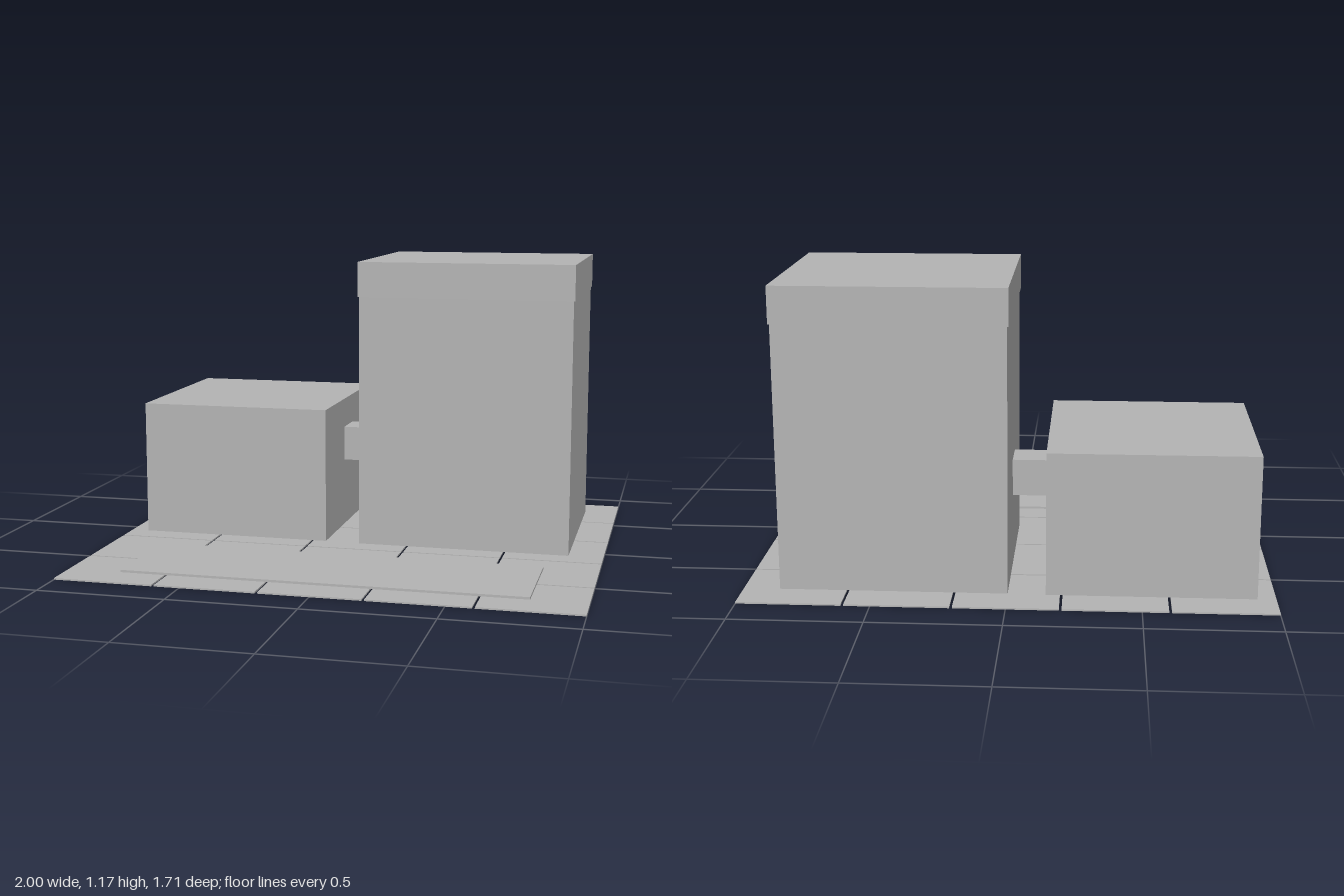
import * as THREE from 'three';

export function createModel() {
  const model = new THREE.Group();
  model.name = 'buildings';
  const grey = new THREE.MeshStandardMaterial({ color: 0xb4b4b4 });
  grey.name = 'plain grey';

  // Box given by its minimum and maximum on each axis
  function block(name, [x0, x1], [y0, y1], [z0, z1], parent = model) {
    const mesh = new THREE.Mesh(new THREE.BoxGeometry(x1 - x0, y1 - y0, z1 - z0), grey);
    mesh.position.set((x0 + x1) / 2, (y0 + y1) / 2, (z0 + z1) / 2);
    mesh.name = name;
    parent.add(mesh);
    return mesh;
  }

  // Ground of five by five thin tiles with narrow gaps
  const ground = new THREE.Group();
  ground.name = 'ground';
  model.add(ground);
  const count = 5, gap = 0.01, tileTop = 0.006;
  const pitchX = (2 + gap) / count, pitchZ = (1.706 + gap) / count;
  for (let i = 0; i < count; i++) {
    for (let j = 0; j < count; j++) {
      const x = -1 + i * pitchX, z = -0.853 + j * pitchZ;
      block('groundTile', [x, x + pitchX - gap], [0, tileTop], [z, z + pitchZ - gap], ground);
    }
  }

  // Raised strip along the front
  block('frontStrip', [-0.787, 0.787], [tileTop, 0.015], [0.29, 0.717]);

  // Tall building with a slightly overhanging cap
  block('tower', [0, 0.862], [tileTop, 1.03], [-0.713, 0.077]);
  block('towerCap', [-0.005, 0.867], [1.026, 1.167], [-0.72, 0.082]);

  // Low building and the bridge joining it to the tower
  block('lowBuilding', [-0.93, -0.143], [tileTop, 0.557], [-0.717, 0.07]);
  block('bridge', [-0.143, 0], [0.29, 0.434], [-0.393, -0.25]);

  return model;
}
